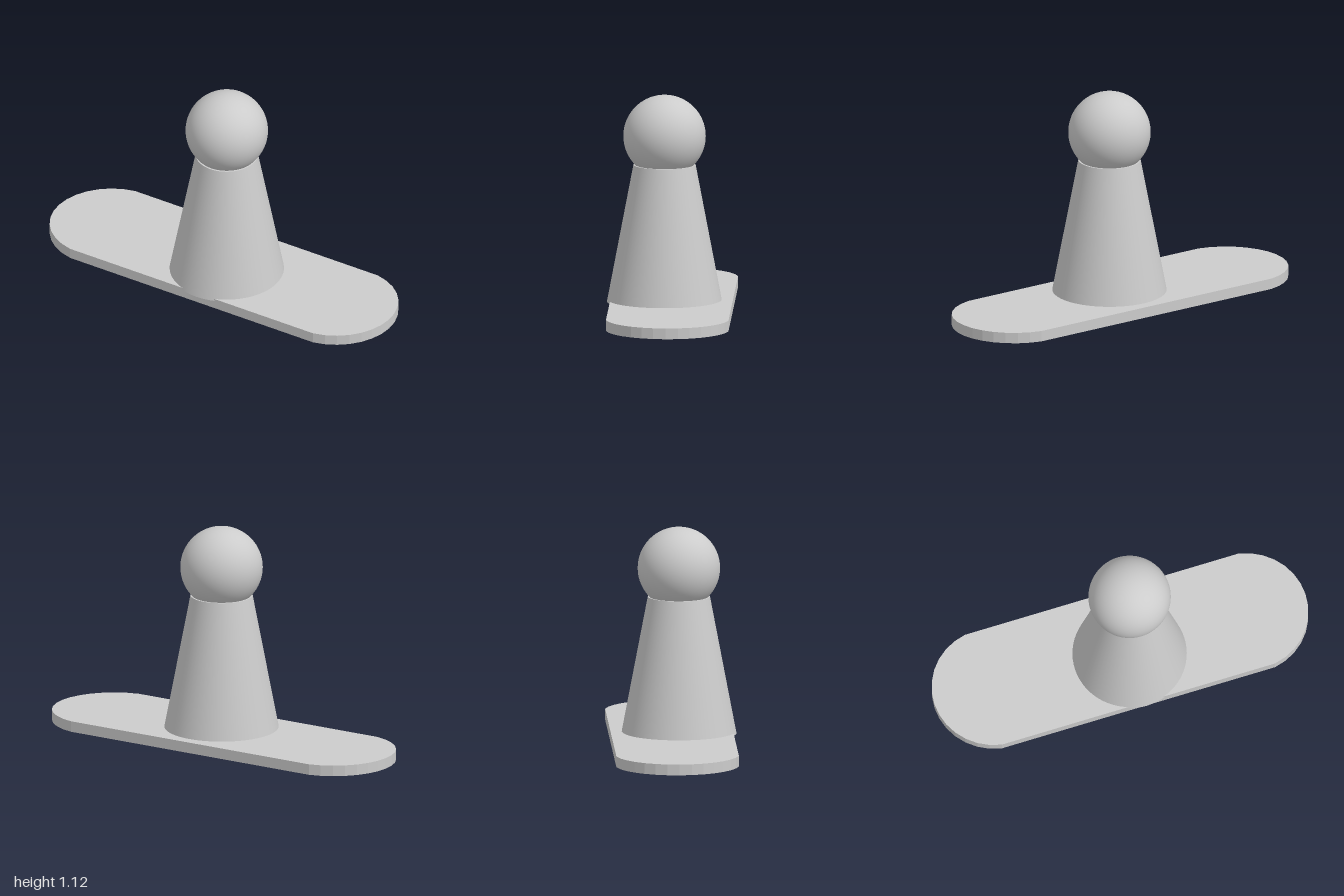
import * as THREE from 'three';

const material = new THREE.MeshStandardMaterial({ color: 0xcccccc });

function addPart(group, name, geometry, x, y, z) {
  const mesh = new THREE.Mesh(geometry, material);
  mesh.name = name;
  mesh.position.set(x, y, z);
  group.add(mesh);
  return mesh;
}

// Flat bar with rounded ends; the end arcs stop just short of tangent
function basePlateGeometry(halfLength, halfDepth, radius, height) {
  const cx = halfLength - radius;
  const sweep = Math.asin(halfDepth / radius);
  const shape = new THREE.Shape();
  shape.absarc(cx, 0, radius, -sweep, sweep, false);
  shape.absarc(-cx, 0, radius, Math.PI - sweep, Math.PI + sweep, false);
  shape.closePath();
  const geometry = new THREE.ExtrudeGeometry(shape, { depth: height, bevelEnabled: false, curveSegments: 7 });
  return geometry.rotateX(-Math.PI / 2);
}

export function createModel() {
  const group = new THREE.Group();
  group.name = 'pawnOnPlate';
  const px = 0.04, pz = 0.027; // axis of the standing piece

  addPart(group, 'basePlate', basePlateGeometry(1, 0.315, 0.32, 0.056), 0, 0, -0.01);

  // Tapered body, sunk slightly into the plate
  const bottom = 0.045, top = 0.757;
  addPart(group, 'body', new THREE.CylinderGeometry(0.16, 0.296, top - bottom, 64),
    px, (bottom + top) / 2, pz);

  addPart(group, 'head', new THREE.SphereGeometry(0.212, 64, 40), px, 0.906, pz);

  return group;
}
